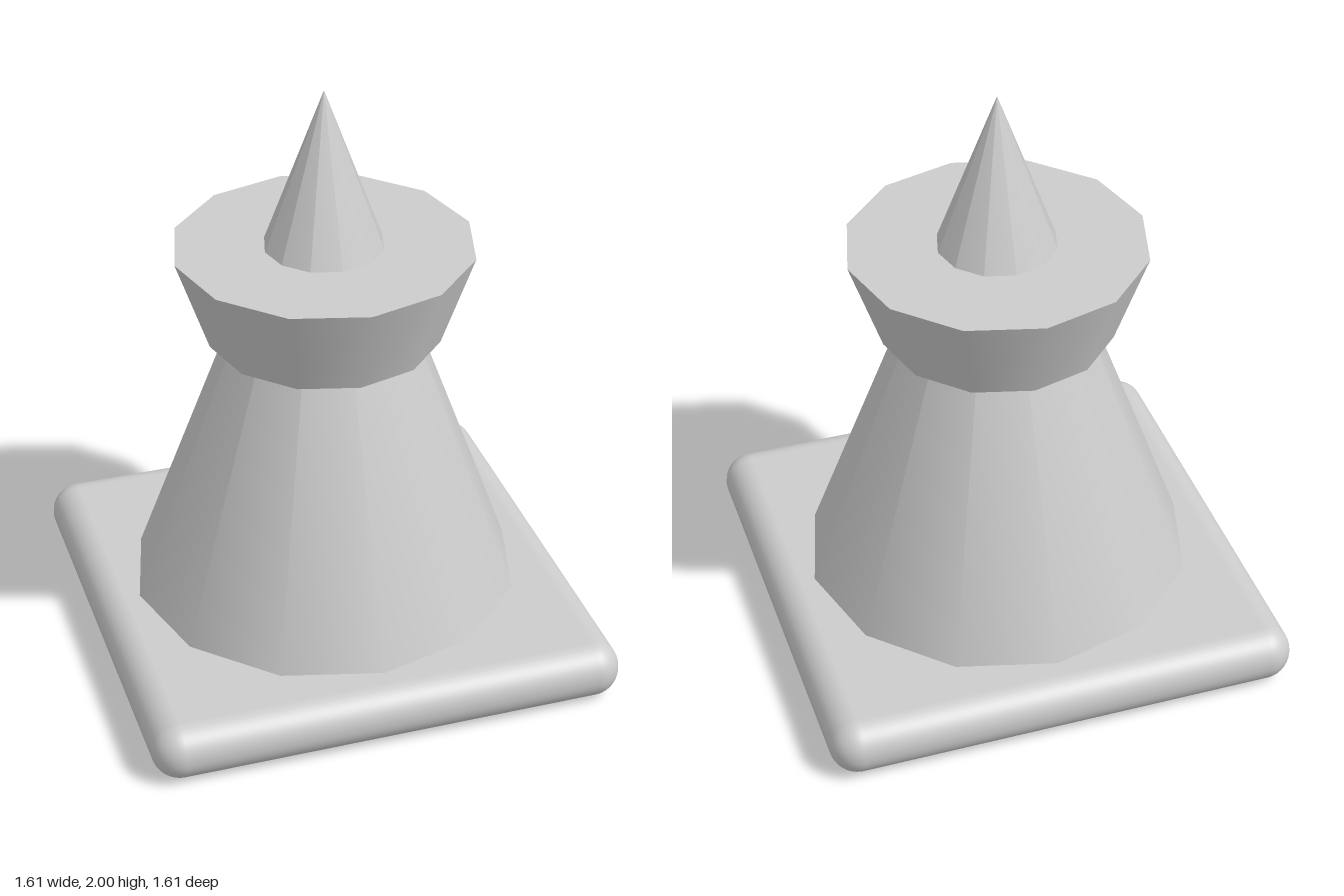
import * as THREE from 'three';
import { RoundedBoxGeometry } from 'three/addons/geometries/RoundedBoxGeometry.js';

const SIDES = 12;
const BASE_WIDTH = 1.61;
const BASE_HEIGHT = 0.196;

export function createModel() {
  const model = new THREE.Group();
  model.name = 'towerPiece';

  const grey = new THREE.MeshStandardMaterial({ color: 0xcccccc });
  grey.name = 'light grey';

  const add = (name, geometry, y) => {
    const mesh = new THREE.Mesh(geometry, grey);
    mesh.name = name;
    mesh.position.y = y;
    model.add(mesh);
  };

  // Square plinth with fully rounded edges
  add('base', new RoundedBoxGeometry(BASE_WIDTH, BASE_HEIGHT, BASE_WIDTH, 6, BASE_HEIGHT / 2 - 0.002), BASE_HEIGHT / 2);

  // One tall cone forms the body and the spike above the collar
  const coneHeight = 2 - BASE_HEIGHT;
  add('body', new THREE.ConeGeometry(0.66, coneHeight, SIDES), BASE_HEIGHT + coneHeight / 2);

  // Flared collar around the cone
  const collarBottom = 1.135, collarTop = 1.455;
  add('collar', new THREE.CylinderGeometry(0.5, 0.39, collarTop - collarBottom, SIDES), (collarTop + collarBottom) / 2);

  return model;
}
